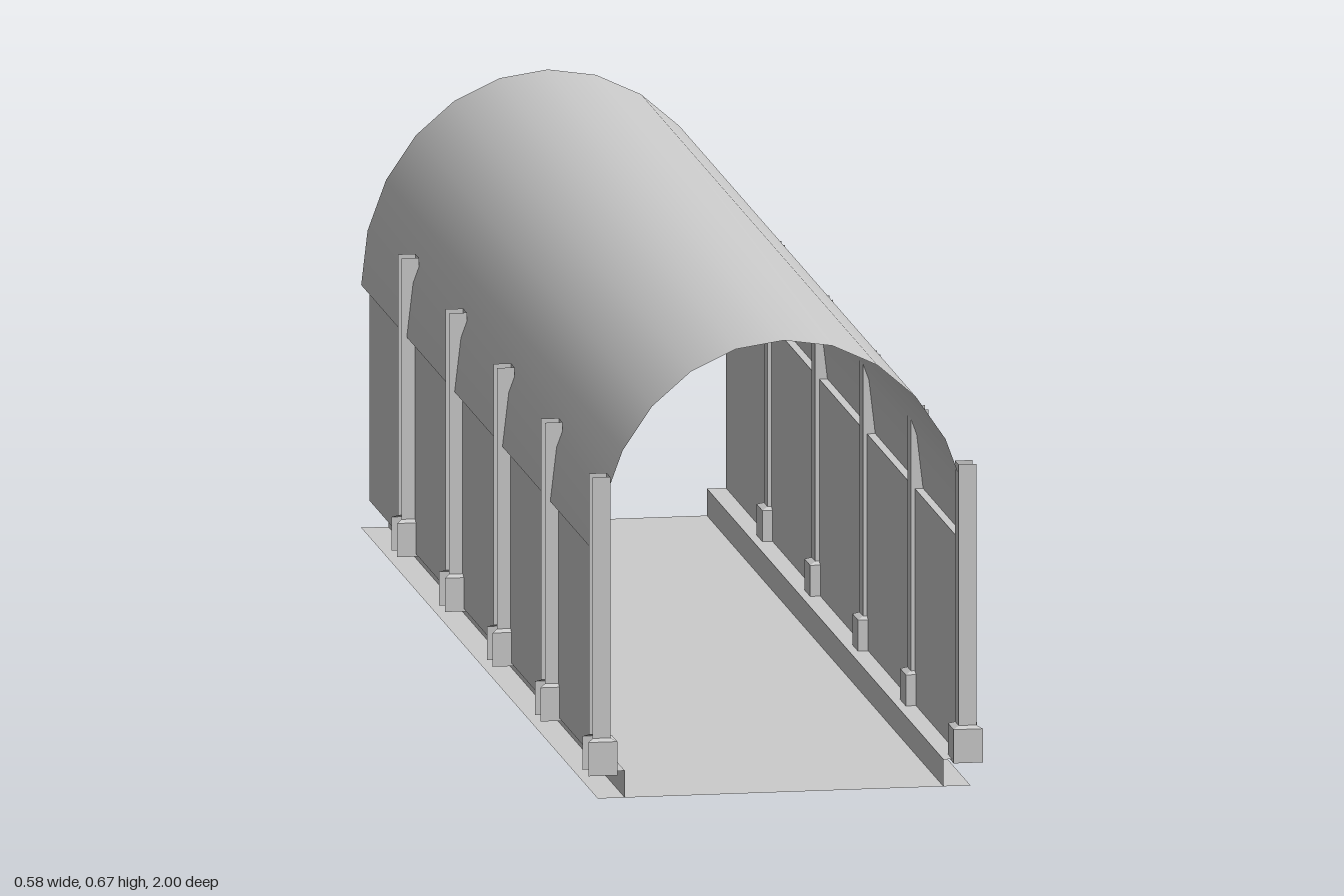
import * as THREE from 'three';

const grey = new THREE.MeshStandardMaterial({ color: 0xcccccc, side: THREE.DoubleSide });
const flat = new THREE.MeshStandardMaterial({ color: 0xcccccc, side: THREE.DoubleSide, flatShading: true });
const BACK = -1, FRONT = 0.988;

// Skin a list of equally long cross-sections ([x, y, z] points) into an open sheet
function loft(name, sections, material) {
  const n = sections[0].length, index = [];
  for (let s = 0; s < sections.length - 1; s++) {
    for (let i = 0; i < n - 1; i++) {
      const a = s * n + i, b = a + n;
      index.push(a, a + 1, b, a + 1, b + 1, b);
    }
  }
  const geometry = new THREE.BufferGeometry();
  geometry.setAttribute('position', new THREE.Float32BufferAttribute(sections.flat(2), 3));
  geometry.setIndex(index);
  geometry.computeVertexNormals();
  const mesh = new THREE.Mesh(geometry, material);
  mesh.name = name;
  return mesh;
}

// Thin sheet: an [x, y] profile swept along the tunnel
function sheet(name, profile, material = flat) {
  return loft(name, [FRONT, BACK].map(z => profile.map(([x, y]) => [x, y, z])), material);
}

// Post: a channel open towards the outside, with a wider foot and a small chamfer
function post(side, z) {
  const levels = [ // y, inner x, outer x, half depth
    [0.036, 0.248, 0.291, 0.024],
    [0.086, 0.248, 0.291, 0.024],
    [0.09, 0.257, 0.283, 0.015],
    [0.477, 0.257, 0.283, 0.015],
  ];
  const sections = levels.map(([y, inner, outer, d]) => [
    [side * outer, y, d], [side * inner, y, d], [side * inner, y, -d], [side * outer, y, -d],
  ]);
  const mesh = loft('post', sections, flat);
  mesh.position.z = z;
  return mesh;
}

export function createModel() {
  const model = new THREE.Group();
  model.name = 'archedTunnel';

  // Floor and vaulted roof
  model.add(sheet('floor', [[-0.275, 0], [0.275, 0]]));
  const arch = [];
  for (let i = 0; i <= 12; i++) {
    const a = Math.PI * i / 12;
    arch.push([0.275 * Math.cos(a), 0.36 + 0.31 * Math.sin(a)]);
  }
  model.add(sheet('vault', arch, grey));

  // Curbs, walls and posts on both sides
  for (const side of [1, -1]) {
    model.add(sheet('curb', [[side * 0.235, 0], [side * 0.235, 0.04], [side * 0.263, 0.04]]));
    model.add(sheet('wall', [[side * 0.263, 0.04], [side * 0.263, 0.36], [side * 0.275, 0.36]]));
    for (let i = 0; i < 5; i++) model.add(post(side, 0.976 - 0.402 * i));
  }
  return model;
}
